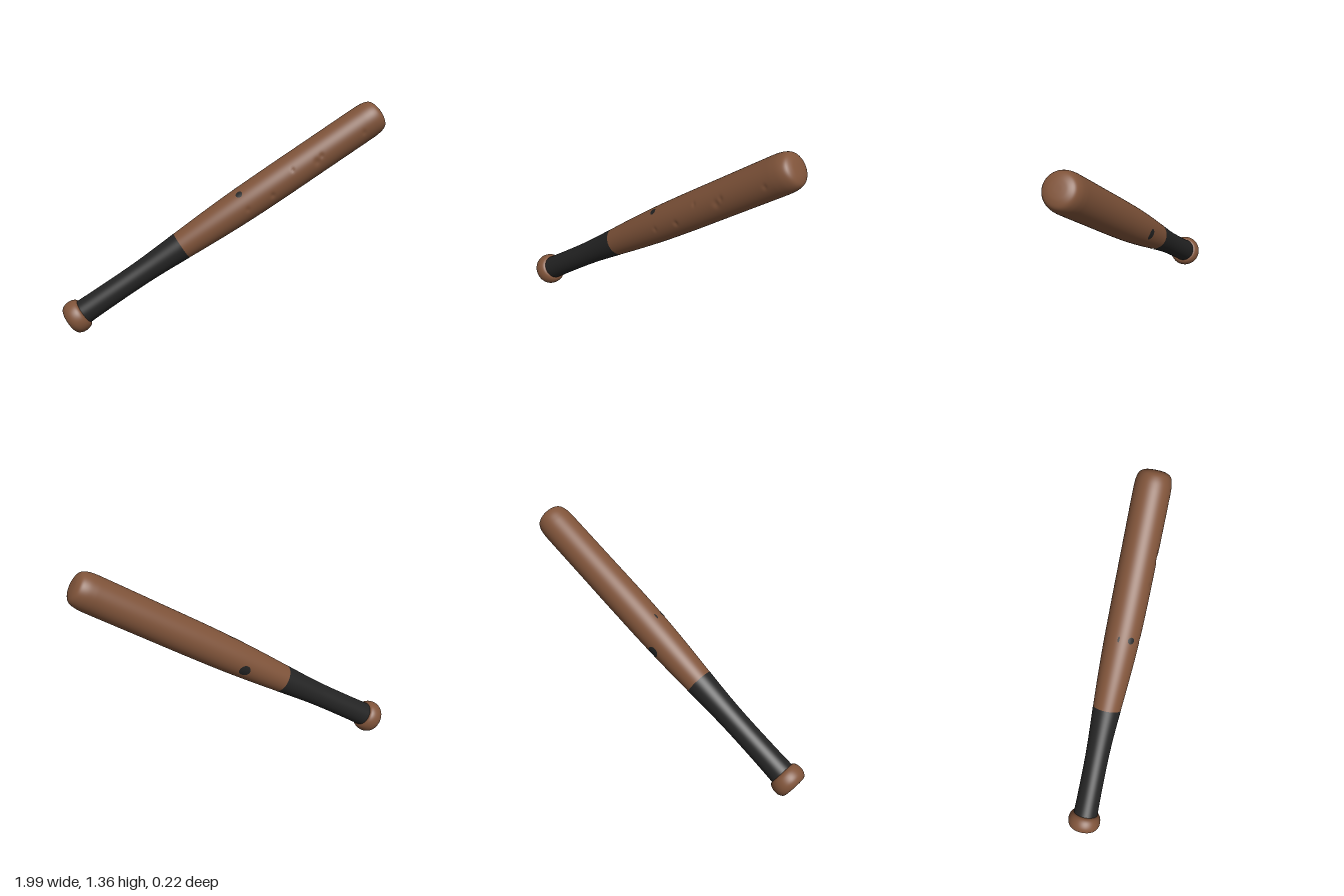
import * as THREE from 'three';
import { mergeVertices } from 'three/addons/utils/BufferGeometryUtils.js';

const wood = new THREE.MeshStandardMaterial({ color: 0x80543a });
wood.name = 'brownWood';
const black = new THREE.MeshStandardMaterial({ color: 0x242424 });
black.name = 'blackWrap';

// Profiles as [radius, distance along the bat]
const KNOB = [[0, 0], [0.045, 0], [0.08, 0.005], [0.098, 0.028], [0.103, 0.055], [0.098, 0.085], [0.084, 0.105], [0.06, 0.109]];
const GRIP = [[0.077, 0.09], [0.074, 0.22], [0.073, 0.45], [0.077, 0.62], [0.088, 0.825]];
const BARREL = [[0.087, 0.82], [0.098, 1.03], [0.106, 1.25], [0.109, 1.5], [0.109, 1.8], [0.109, 2.1],
  [0.108, 2.18], [0.102, 2.225], [0.088, 2.255], [0.06, 2.27], [0.03, 2.275], [0, 2.276]];

// Small dents: [distance along, angle from front, size, depth]
const DENTS = [[1.45, -0.22, 0.02, 0.006], [1.78, -0.05, 0.028, 0.006], [1.82, 0.1, 0.02, 0.005],
  [1.63, 0.36, 0.016, 0.004], [2.11, -0.17, 0.018, 0.004], [1.28, -0.1, 0.018, 0.004]];

// The handle sits slightly towards the back
const zShift = (t) => -0.01 * (1 - THREE.MathUtils.smoothstep(t, 0.6, 1.5));

function dentDepth(t, angle) {
  let depth = 0;
  for (const [dt, da, size, d] of DENTS) {
    const dist2 = (t - dt) ** 2 + ((angle - da) * 0.105) ** 2;
    depth += d * Math.exp(-dist2 / (size * size * 0.5));
  }
  return depth;
}

function turned(name, profile, rows, material, dented = false) {
  const curve = new THREE.SplineCurve(profile.map(([r, t]) => new THREE.Vector2(r, t)));
  const points = curve.getSpacedPoints(rows);
  points.forEach((p) => { p.x = Math.max(p.x, 0); });
  let geo = new THREE.LatheGeometry(points, 72);
  geo.deleteAttribute('uv');
  geo.deleteAttribute('normal');
  geo = mergeVertices(geo, 1e-5);
  const pos = geo.attributes.position;
  for (let i = 0; i < pos.count; i++) {
    let x = pos.getX(i), z = pos.getZ(i);
    const t = pos.getY(i), r = Math.hypot(x, z);
    if (dented && r > 0.05) {
      const k = 1 - dentDepth(t, Math.atan2(-x, z)) / r;
      x *= k;
      z *= k;
    }
    pos.setXYZ(i, x, t, z + zShift(t));
  }
  geo.computeVertexNormals();
  const mesh = new THREE.Mesh(geo, material);
  mesh.name = name;
  return mesh;
}

// Barrel radius at a distance along the bat
function barrelRadius(t) {
  for (let i = 1; i < BARREL.length; i++) {
    const [r0, t0] = BARREL[i - 1], [r1, t1] = BARREL[i];
    if (t <= t1) return THREE.MathUtils.mapLinear(t, t0, t1, r0, r1);
  }
  return 0;
}

// Thin dark spot wrapped round the barrel
function spot(name, t0, a0, width, length) {
  const geo = new THREE.RingGeometry(0.001, 1, 24, 4);
  const pos = geo.attributes.position;
  for (let i = 0; i < pos.count; i++) {
    const t = t0 + pos.getY(i) * length;
    const r = barrelRadius(t) + 0.002;
    const a = a0 - pos.getX(i) * width / r;
    pos.setXYZ(i, -Math.sin(a) * r, t, Math.cos(a) * r + zShift(t));
  }
  geo.computeVertexNormals();
  const mesh = new THREE.Mesh(geo, black);
  mesh.name = name;
  return mesh;
}

export function createModel() {
  const bat = new THREE.Group();
  bat.name = 'bat';
  bat.add(
    turned('knob', KNOB, 40, wood),
    turned('gripWrap', GRIP, 30, black),
    turned('barrel', BARREL, 220, wood, true),
    spot('frontSpot', 1.285, 0.95, 0.021, 0.021),
    spot('topSpot', 1.283, 1.66, 0.006, 0.018),
    spot('backSpot', 1.14, Math.PI + 0.26, 0.036, 0.036),
  );

  // Lean the bat so that the tip points up to the left side
  bat.rotation.z = -1.0;
  bat.position.set(-0.953, 0.078, 0);

  const model = new THREE.Group();
  model.name = 'leaningBat';
  model.add(bat);
  return model;
}
